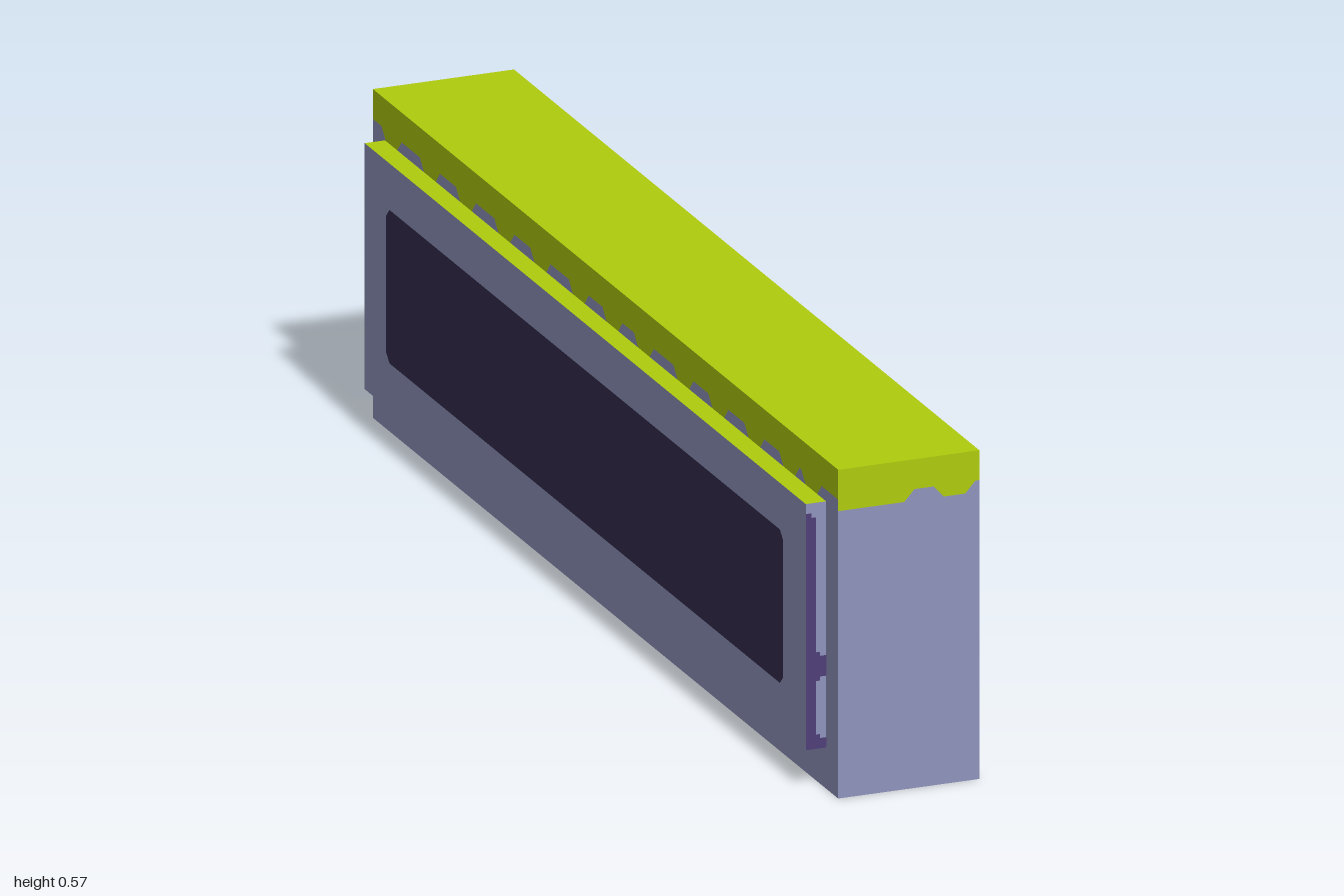
import * as THREE from 'three';

const mat = (name, color, side = THREE.FrontSide) => {
  const m = new THREE.MeshStandardMaterial({ color, side });
  m.name = name;
  return m;
};

export function createModel() {
  const stone = mat('lavender stone', 0x8f95bd);
  const moss = mat('moss green', 0xb0cc0e);
  const dark = mat('dark violet', 0x352c4f);
  const violet = mat('violet', 0x4f4079);

  const model = new THREE.Group();
  model.name = 'mossyTrough';

  const W = 0.25, H = 0.572, L = 2, CX = 0.018; // main block
  const RY0 = 0.145, RY1 = 0.434, RZ = 0.858, RX = 0.018; // recess
  const HIGH = 0.52, LOW = 0.5, RAMP = 0.018; // moss edge

  const add = (parent, name, geometry, material, pos = [0, 0, 0], rot = [0, 0, 0]) => {
    const m = new THREE.Mesh(geometry, material);
    m.name = name;
    m.position.set(...pos);
    m.rotation.set(...rot);
    parent.add(m);
    return m;
  };
  const polygon = (pts) => new THREE.Shape(pts.map(([x, y]) => new THREE.Vector2(x, y)));

  // Wavy lower edge of the moss: low between each [a, b], high elsewhere
  const mossEdge = (width, drips) => {
    const h = width / 2;
    const pts = [[-h, drips[0][0] <= -h ? LOW : HIGH]];
    for (const [a, b] of drips) {
      if (a > -h) pts.push([a - RAMP, HIGH], [a, LOW]);
      pts.push([b, LOW], [b + RAMP, HIGH]);
    }
    pts.push([h, HIGH]);
    return pts;
  };

  // One side of the block: stone below, moss above
  const wall = (name, width, drips, pos, turn, hole) => {
    const g = new THREE.Group();
    g.name = name;
    g.position.set(...pos);
    g.rotation.y = turn;
    const h = width / 2;
    const edge = mossEdge(width, drips);
    const lower = polygon([[-h, 0], [h, 0], ...[...edge].reverse()]);
    if (hole) lower.holes.push(hole);
    add(g, name + 'Stone', new THREE.ShapeGeometry(lower), stone);
    add(g, name + 'Moss', new THREE.ShapeGeometry(polygon([...edge, [h, H], [-h, H]])), moss);
    model.add(g);
  };

  const sideDrips = [-0.92, -0.755, -0.6, -0.435, -0.28, -0.115, 0.03, 0.165, 0.335, 0.485, 0.64, 0.79, 0.885]
    .map((c) => [c - 0.025, c + 0.025]);
  const endDrips = [[-W / 2, -0.008], [0.062, 0.1]];
  const opening = polygon([[-RZ, RY0], [-RZ, RY1], [RZ, RY1], [RZ, RY0]]);

  wall('frontWall', W, endDrips, [CX, 0, L / 2], 0);
  wall('backWall', W, endDrips, [CX, 0, -L / 2], Math.PI);
  wall('recessWall', L, sideDrips, [CX + W / 2, 0, 0], Math.PI / 2, opening);
  wall('panelWall', L, sideDrips, [CX - W / 2, 0, 0], -Math.PI / 2);

  // Top and underside
  add(model, 'mossTop', new THREE.PlaneGeometry(W, L), moss, [CX, H, 0], [-Math.PI / 2, 0, 0]);
  add(model, 'underside', new THREE.PlaneGeometry(W, L), stone, [CX, 0, 0], [Math.PI / 2, 0, 0]);

  // Recess lining
  const depth = CX + W / 2 - RX, rx = RX + depth / 2, ry = (RY0 + RY1) / 2, rh = RY1 - RY0;
  add(model, 'recessFloor', new THREE.PlaneGeometry(depth, RZ * 2), moss, [rx, RY0, 0], [-Math.PI / 2, 0, 0]);
  add(model, 'recessCeiling', new THREE.PlaneGeometry(depth, RZ * 2), stone, [rx, RY1, 0], [Math.PI / 2, 0, 0]);
  add(model, 'recessBack', new THREE.PlaneGeometry(RZ * 2, rh), dark, [RX, ry, 0], [0, Math.PI / 2, 0]);
  for (const s of [-1, 1]) {
    add(model, 'recessEnd', new THREE.PlaneGeometry(depth, rh), stone,
      [rx, ry, s * RZ], [0, s > 0 ? Math.PI : 0, 0]);
  }

  // Raised slab on the other side, green on top
  const X0 = -0.143, X1 = CX - W / 2, Y0 = 0.072, Y1 = 0.5, Z = 0.948;
  add(model, 'slab', new THREE.BoxGeometry(X1 - X0, Y1 - Y0, Z * 2),
    [stone, stone, moss, stone, stone, stone], [(X0 + X1) / 2, (Y0 + Y1) / 2, 0]);

  // Dark panel on the slab, with clipped corners
  const pz = 0.853, p0 = 0.153, p1 = 0.42, c = 0.014;
  const panel = polygon([
    [-pz + c, p0], [pz - c, p0], [pz, p0 + c], [pz, p1 - c],
    [pz - c, p1], [-pz + c, p1], [-pz, p1 - c], [-pz, p0 + c],
  ]);
  add(model, 'slabPanel', new THREE.ShapeGeometry(panel), dark, [X0 - 0.001, 0, 0], [0, -Math.PI / 2, 0]);

  // Violet stepped marking on the front end of the slab
  const marking = polygon([
    [X0, Y0], [X1, Y0], [X1, 0.09], [-0.118, 0.09], [-0.118, 0.097], [-0.125, 0.097],
    [-0.125, 0.19], [-0.118, 0.19], [-0.118, 0.197], [X1, 0.197], [X1, 0.233], [-0.118, 0.233],
    [-0.118, 0.24], [-0.125, 0.24], [-0.125, 0.475], [-0.133, 0.475], [-0.133, 0.483], [X0, 0.483],
  ]);
  add(model, 'slabMarking', new THREE.ShapeGeometry(marking), violet, [0, 0, Z + 0.001]);

  return model;
}
